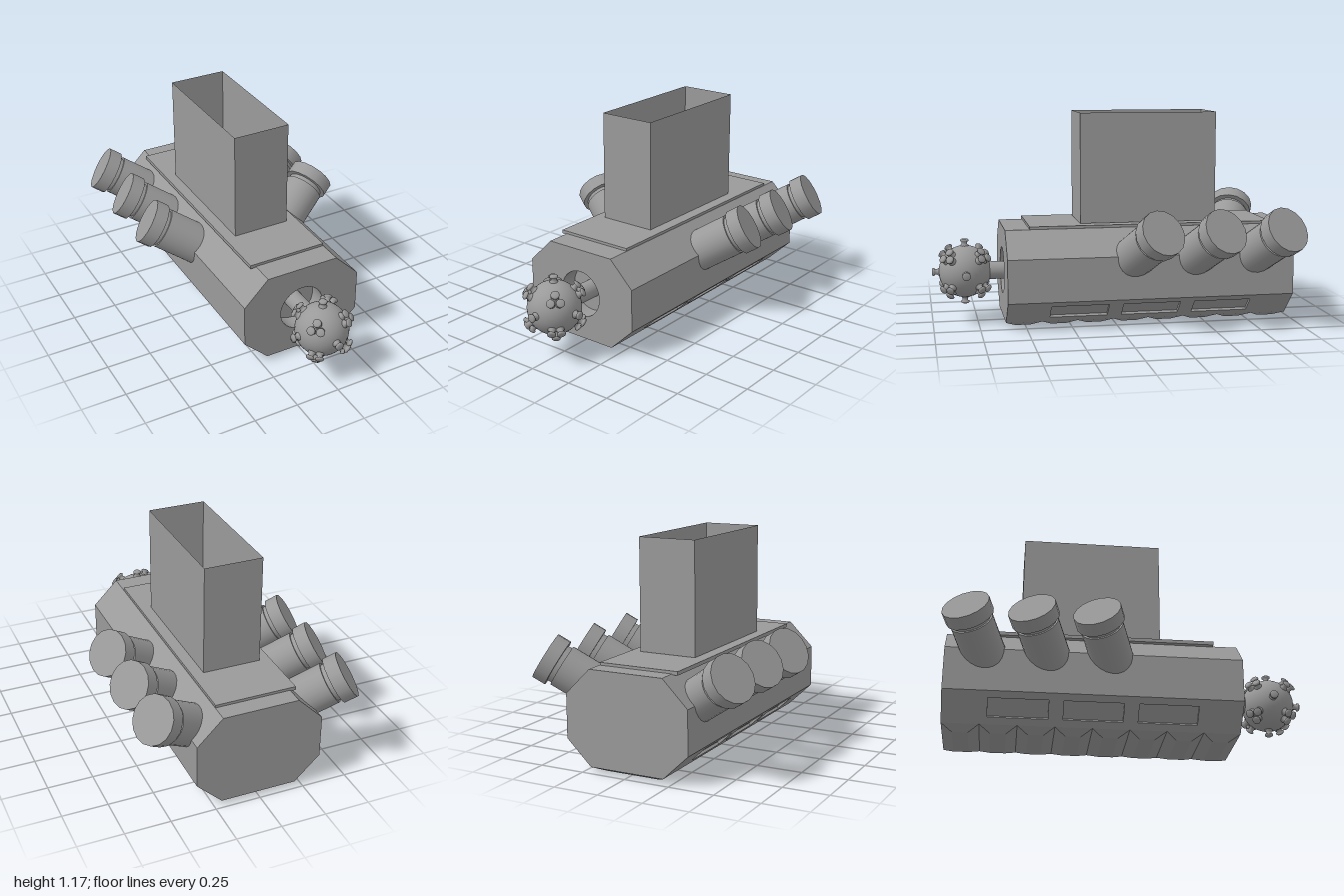
import * as THREE from 'three';

const grey = new THREE.MeshStandardMaterial({ color: 0x9a9a9a });
const greyBoth = new THREE.MeshStandardMaterial({ color: 0x9a9a9a, side: THREE.DoubleSide });
const UP = new THREE.Vector3(0, 1, 0);

function add(parent, name, geometry, x = 0, y = 0, z = 0, material = grey) {
  const mesh = new THREE.Mesh(geometry, material);
  mesh.name = name;
  mesh.position.set(x, y, z);
  parent.add(mesh);
  return mesh;
}

function rectangle(Type, x, y, w, h) {
  return new Type([[-1, -1], [1, -1], [1, 1], [-1, 1]]
    .map(([a, b]) => new THREE.Vector2(x + a * w / 2, y + b * h / 2)));
}

// Thin-walled box with one face left out (2 = top, 4 = front)
function openBox(w, h, d, missing) {
  const box = new THREE.BoxGeometry(w, h, d);
  box.setIndex(Array.from(box.index.array).filter((_, i) => Math.floor(i / 6) !== missing));
  box.clearGroups();
  return box;
}

const BACK = -0.98, FRONT = 0.61, LENGTH = FRONT - BACK, MID = (FRONT + BACK) / 2;
const BALL_Y = 0.285, BALL_Z = 0.818, BALL_R = 0.145;

// Octagonal hull: end faces, eight long sides, recessed lower windows
function createHull() {
  const hull = new THREE.Group();
  hull.name = 'hull';
  const profile = [[-0.21, 0.028], [0.21, 0.028], [0.35, 0.162], [0.35, 0.4],
    [0.21, 0.54], [-0.21, 0.54], [-0.35, 0.4], [-0.35, 0.162]].map(p => new THREE.Vector2(...p));

  const front = new THREE.Shape(profile);
  front.holes.push(new THREE.Path().absarc(0, BALL_Y, 0.13, 0, Math.PI * 2, true));
  add(hull, 'frontFace', new THREE.ShapeGeometry(front, 24), 0, 0, FRONT, greyBoth);
  add(hull, 'backFace', new THREE.ShapeGeometry(new THREE.Shape(profile)).rotateY(Math.PI), 0, 0, BACK, greyBoth);

  // Round socket sunk into the front
  const socket = new THREE.CylinderGeometry(0.13, 0.13, 0.1, 32, 1, true).rotateX(Math.PI / 2);
  add(hull, 'socketWall', socket, 0, BALL_Y, FRONT - 0.05, greyBoth);
  add(hull, 'socketFloor', new THREE.CircleGeometry(0.13, 32), 0, BALL_Y, FRONT - 0.1, greyBoth);

  profile.forEach((a, i) => {
    const b = profile[(i + 1) % 8];
    const edge = new THREE.Vector3(b.x - a.x, b.y - a.y, 0);
    const panel = rectangle(THREE.Shape, 0, 0, LENGTH, edge.length());
    const side = new THREE.Group();
    side.name = 'hullSide' + (i + 1);
    edge.normalize();
    const along = new THREE.Vector3(0, 0, -1);
    const normal = new THREE.Vector3().crossVectors(along, edge);
    side.quaternion.setFromRotationMatrix(new THREE.Matrix4().makeBasis(along, edge, normal));
    side.position.set((a.x + b.x) / 2, (a.y + b.y) / 2, MID);
    if (i === 1 || i === 7) {
      for (const k of [-1, 0, 1]) {
        const u = k * LENGTH / 4;
        panel.holes.push(rectangle(THREE.Path, u, 0, 0.318, 0.11));
        add(side, 'windowRecess', openBox(0.318, 0.11, 0.015, 4), u, 0, -0.0075, greyBoth);
      }
    }
    add(side, 'sidePanel', new THREE.ShapeGeometry(panel), 0, 0, 0, greyBoth);
    hull.add(side);
  });
  return hull;
}

// Tapered ribs under the hull
function addRibs(parent) {
  const step = LENGTH / 8;
  const rib = new THREE.BoxGeometry(0.42, 0.028, step);
  const p = rib.attributes.position;
  for (let i = 0; i < p.count; i++) {
    if (p.getY(i) < 0) p.setXYZ(i, p.getX(i) * 0.72, p.getY(i), p.getZ(i) * 0.42);
  }
  rib.computeVertexNormals();
  for (let i = 0; i < 8; i++) add(parent, 'bottomRib', rib, 0, 0.014, BACK + step * (i + 0.5));
}

// Barrel with a groove and a wide cap; its origin is the centre of the cap's end
function createCannon() {
  const cannon = new THREE.Group();
  cannon.name = 'cannon';
  add(cannon, 'cap', new THREE.CylinderGeometry(0.13, 0.13, 0.075, 16), 0, -0.0375);
  add(cannon, 'groove', new THREE.CylinderGeometry(0.104, 0.104, 0.04, 24), 0, -0.09);
  add(cannon, 'barrel', new THREE.CylinderGeometry(0.115, 0.115, 0.36, 24), 0, -0.28);
  return cannon;
}

// Studded ball on a short neck
function createBall() {
  const ball = new THREE.Group();
  ball.name = 'studdedBall';
  ball.position.set(0, BALL_Y, BALL_Z);
  add(ball, 'ball', new THREE.SphereGeometry(BALL_R, 32, 24));
  add(ball, 'neck', new THREE.CylinderGeometry(0.05, 0.05, 0.25, 24).rotateX(Math.PI / 2), 0, 0, -0.213);

  const stud = new THREE.LatheGeometry([[0.022, 0.138], [0.022, 0.148], [0.015, 0.152],
    [0.015, 0.166], [0.023, 0.169], [0.023, 0.177], [0.016, 0.182], [0, 0.182]]
    .map(p => new THREE.Vector2(...p)), 12);
  const directions = [[1, 0, 0], [-1, 0, 0], [0, 1, 0], [0, -1, 0], [0, 0, 1]];
  // Three studs around each diagonal
  for (const x of [-1, 1]) for (const y of [-1, 1]) for (const z of [-1, 1]) {
    directions.push([x * 1.414, y, z], [x, y * 1.414, z], [x, y, z * 1.414]);
  }
  for (const d of directions) {
    const direction = new THREE.Vector3(...d).normalize();
    add(ball, 'stud', stud).quaternion.setFromUnitVectors(UP, direction);
  }
  return ball;
}

export function createModel() {
  const model = new THREE.Group();
  model.name = 'gunship';
  model.add(createHull(), createBall());
  addRibs(model);

  // Deck plate and open-topped tower, both slightly off centre
  add(model, 'deckPlate', new THREE.BoxGeometry(0.45, 0.02, 1.355), -0.017, 0.545, -0.2025);
  add(model, 'tower', openBox(0.325, 0.61, 0.766, 2), -0.0175, 0.862, -0.197, greyBoth);

  // Three cannons on each side, pointing out, up and back
  for (const side of [-1, 1]) {
    const aim = new THREE.Vector3(side * 0.783, 0.522, -0.337).normalize();
    for (const z of [-0.195, -0.535, -0.877]) {
      const cannon = createCannon();
      cannon.position.set(side * 0.543, 0.555, z);
      cannon.quaternion.setFromUnitVectors(UP, aim);
      model.add(cannon);
    }
  }
  return model;
}
